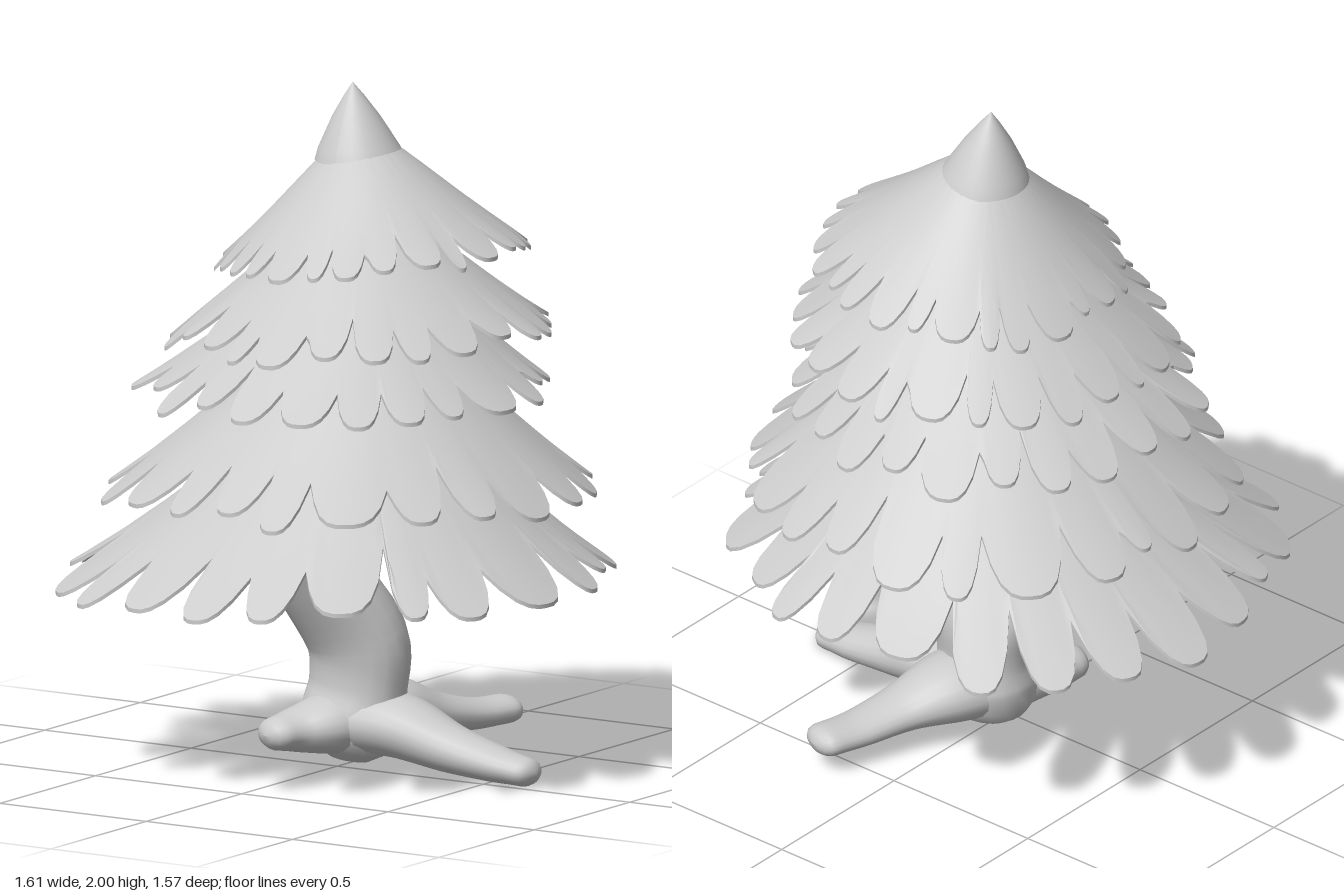
import * as THREE from 'three';
import { toCreasedNormals } from 'three/addons/utils/BufferGeometryUtils.js';

const material = new THREE.MeshStandardMaterial({ color: 0xcccccc, side: THREE.DoubleSide });
const axis = [0.06, -0.03]; // x and z of the centre line near the top

function seeded(seed) {
  return () => (seed = (seed * 16807) % 2147483647) / 2147483647;
}

// Skin a list of closed rings (arrays of Vector3) into one surface
function skin(rings, crease) {
  const n = rings[0].length, pos = [], index = [];
  rings.forEach((ring) => ring.forEach((p) => pos.push(p.x, p.y, p.z)));
  for (let i = 0; i < rings.length - 1; i++) {
    for (let j = 0; j < n; j++) {
      const a = i * n + j, b = i * n + ((j + 1) % n);
      index.push(a, b, a + n, b, b + n, a + n);
    }
  }
  const geo = new THREE.BufferGeometry();
  geo.setAttribute('position', new THREE.Float32BufferAttribute(pos, 3));
  geo.setIndex(index);
  if (crease) return toCreasedNormals(geo, crease);
  geo.computeVertexNormals();
  return geo;
}

// Conical layer of branches whose rim, centred on c, is cut into uneven blunt tabs
function skirt({ c, profile, tabs, depth, tilt, seed }) {
  const rand = seeded(seed), per = 10, rows = 6, thick = 0.012;
  const R = profile[profile.length - 1][0], r0 = profile[0][0];
  const step = (Math.PI * 2) / tabs;
  const bounds = [], cuts = [], tips = [], sags = [];
  for (let k = 0; k < tabs; k++) {
    bounds.push((k + (rand() - 0.5) * 0.5) * step);
    cuts.push(depth * (0.75 + 0.5 * rand()));
    tips.push(R - depth * 0.45 * rand() ** 2);
    sags.push((rand() - 0.5) * 0.025);
  }
  const rim = [];
  for (let k = 0; k < tabs; k++) {
    const k2 = (k + 1) % tabs;
    const end = bounds[k2] + (k2 === 0 ? Math.PI * 2 : 0);
    for (let s = 0; s < per; s++) {
      const u = s / per, v = Math.abs(2 * u - 1);
      const cut = u < 0.5 ? cuts[k] : cuts[k2];
      rim.push({ a: bounds[k] + (end - bounds[k]) * u, r: tips[k] - cut * v ** 3, sag: sags[k] * (1 - v * v) });
    }
  }
  const height = (r) => {
    let i = 1;
    while (i < profile.length - 1 && r > profile[i][0]) i++;
    const [ra, ya] = profile[i - 1], [rb, yb] = profile[i];
    return ya + ((yb - ya) * (r - ra)) / (rb - ra);
  };
  const ringAt = (f, drop) => rim.map(({ a, r, sag }) => {
    const q = r0 + (r - r0) * f, x = Math.cos(a) * q, z = Math.sin(a) * q;
    const shift = (q - r0) / (R - r0);
    return new THREE.Vector3(
      axis[0] + (c[0] - axis[0]) * shift + x,
      height(q) + tilt * x + sag * f ** 6 - drop,
      axis[1] + (c[1] - axis[1]) * shift + z);
  });
  const rings = [];
  for (let i = 0; i <= rows; i++) rings.push(ringAt(i / rows, 0));
  for (let i = rows; i >= 0; i--) rings.push(ringAt(i / rows, thick));
  return skin(rings, 0.6);
}

// Smooth limb through stations [x, y, z, side radius, other radius] with rounded ends
function limb(stations, ref, sides = 20, steps = 24) {
  const curve = new THREE.CatmullRomCurve3(stations.map((s) => new THREE.Vector3(...s)));
  const sizes = new THREE.SplineCurve(stations.map((s) => new THREE.Vector2(s[3], s[4])));
  const rings = [];
  const add = (u, bulge) => {
    const t = curve.getTangent(u), size = sizes.getPoint(u);
    const b = t.clone().cross(ref).normalize(), n = b.clone().cross(t);
    const centre = curve.getPoint(u).addScaledVector(t, bulge * Math.min(size.x, size.y));
    const k = Math.sqrt(Math.max(0, 1 - bulge * bulge));
    rings.push(Array.from({ length: sides }, (_, j) => {
      const a = (-j / sides) * Math.PI * 2;
      return centre.clone()
        .addScaledVector(b, Math.cos(a) * size.x * k)
        .addScaledVector(n, Math.sin(a) * size.y * k);
    }));
  };
  for (const s of [1, 0.92, 0.7, 0.4]) add(0, -s);
  for (let i = 0; i <= steps; i++) add(i / steps, 0);
  for (const s of [0.4, 0.7, 0.92, 1]) add(1, s);
  return skin(rings);
}

export function createModel() {
  const tree = new THREE.Group();
  tree.name = 'tree';
  const add = (name, geo) => {
    const mesh = new THREE.Mesh(geo, material);
    mesh.name = name;
    tree.add(mesh);
    return mesh;
  };

  // Pointed cap, leaning slightly
  const cap = add('treeTop', new THREE.LatheGeometry(
    [[0.132, 1.775], [0.118, 1.812], [0.07, 1.9], [0.03, 1.96], [0, 2]]
      .map(([r, y]) => new THREE.Vector2(r, y)), 32));
  const p = cap.geometry.attributes.position;
  for (let i = 0; i < p.count; i++) {
    const lean = (2 - p.getY(i)) / 0.22;
    p.setX(i, p.getX(i) + 0.04 + lean * (axis[0] - 0.04));
    p.setZ(i, p.getZ(i) - 0.02 + lean * (axis[1] + 0.02));
  }
  cap.geometry.computeVertexNormals();

  // Branch layers, top to bottom
  [
    { c: [0.095, -0.045], profile: [[0.06, 1.84], [0.13, 1.785], [0.3, 1.63], [0.465, 1.49]], tabs: 25, depth: 0.085, tilt: 0.08 },
    { c: [0.065, -0.025], profile: [[0.07, 1.66], [0.26, 1.51], [0.42, 1.38], [0.565, 1.27]], tabs: 24, depth: 0.1, tilt: 0.04 },
    { c: [0, -0.04], profile: [[0.07, 1.52], [0.34, 1.31], [0.48, 1.195], [0.615, 1.095]], tabs: 23, depth: 0.11, tilt: 0.01 },
    { c: [0.025, -0.025], profile: [[0.07, 1.36], [0.38, 1.09], [0.55, 0.94], [0.715, 0.805]], tabs: 22, depth: 0.13, tilt: 0.02 },
    { c: [0, 0], profile: [[0.07, 1.12], [0.45, 0.835], [0.63, 0.685], [0.82, 0.555]], tabs: 22, depth: 0.17, tilt: 0.02 },
  ].forEach((layer, i) => add(`branchLayer${i + 1}`, skirt({ ...layer, seed: 4711 + i * 977 })));

  // Bent trunk with an oval section turned a little about its length
  add('trunk', limb([
    [0.02, 0.15, -0.06, 0.175, 0.14],
    [0.03, 0.24, -0.065, 0.175, 0.118],
    [0.03, 0.37, -0.06, 0.188, 0.125],
    [-0.045, 0.58, 0.045, 0.175, 0.115],
    [-0.08, 0.75, 0.11, 0.18, 0.12],
    [-0.1, 0.95, 0.14, 0.1, 0.08],
  ], new THREE.Vector3(-0.34, 0, 0.94)));

  // Three spreading roots
  const up = new THREE.Vector3(0, 1, 0);
  add('sideRoot', limb([
    [0.02, 0.135, -0.05, 0.13, 0.09],
    [0.18, 0.135, -0.045, 0.125, 0.092],
    [0.36, 0.088, -0.04, 0.09, 0.07],
    [0.52, 0.058, -0.04, 0.075, 0.052],
    [0.615, 0.045, -0.04, 0.06, 0.042],
  ], up));
  add('backRoot', limb([
    [0.01, 0.15, -0.05, 0.14, 0.1],
    [0.06, 0.15, -0.19, 0.13, 0.095],
    [0.12, 0.12, -0.33, 0.09, 0.06],
    [0.165, 0.1, -0.47, 0.075, 0.045],
    [0.195, 0.1, -0.575, 0.07, 0.042],
  ], up));
  add('frontRoot', limb([
    [0.02, 0.135, -0.06, 0.13, 0.095],
    [-0.02, 0.13, 0.04, 0.12, 0.085],
    [-0.06, 0.122, 0.12, 0.09, 0.065],
    [-0.08, 0.12, 0.185, 0.07, 0.05],
  ], up));

  return tree;
}
